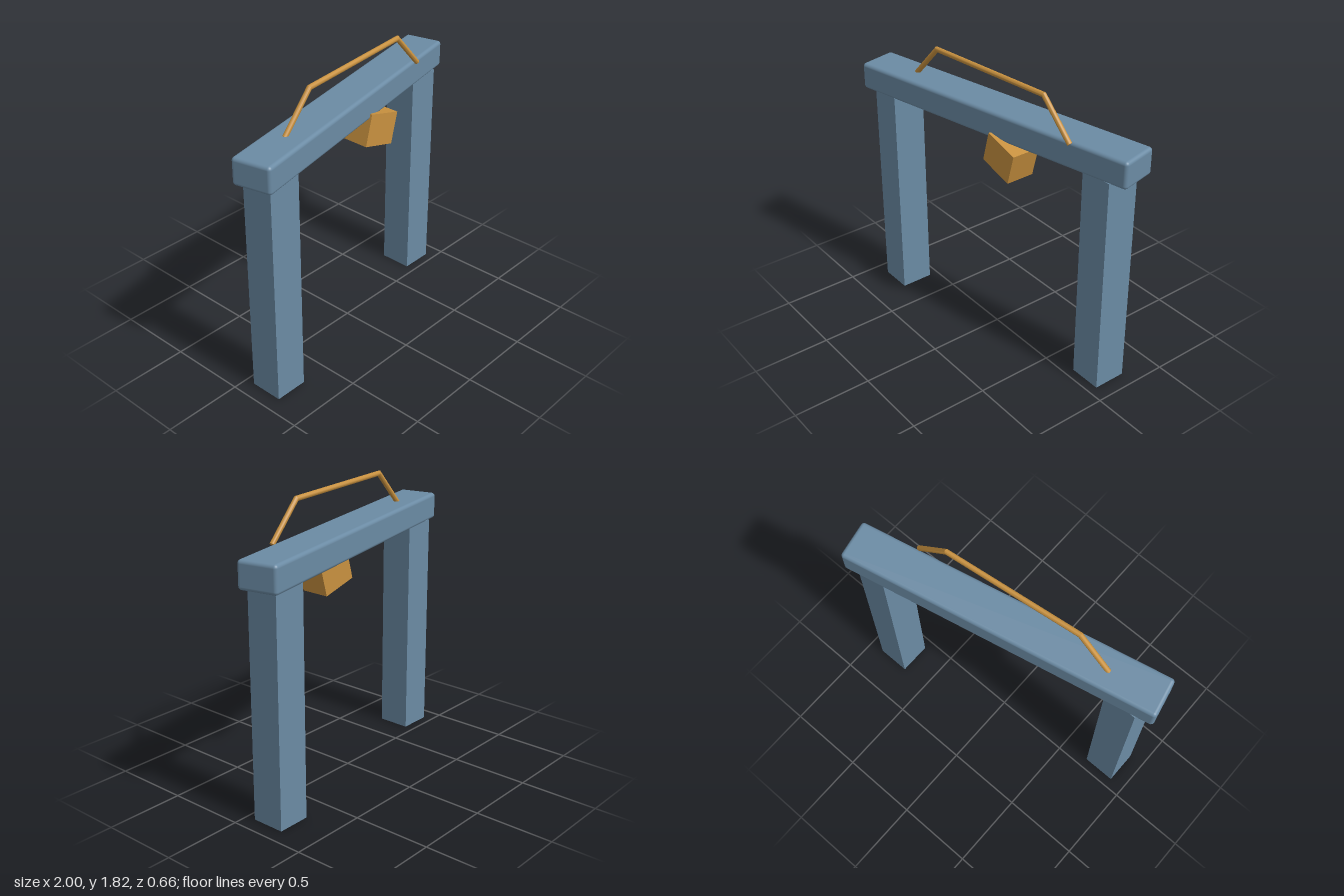
import * as THREE from 'three';
import { RoundedBoxGeometry } from 'three/addons/geometries/RoundedBoxGeometry.js';
import { toCreasedNormals } from 'three/addons/utils/BufferGeometryUtils.js';

// Round rod along a polyline, with mitred corners and closed ends
function rodGeometry(points, radius, sides) {
  const last = points.length - 1;
  const across = points[last].clone().sub(points[0]).setY(0).normalize()
    .cross(new THREE.Vector3(0, 1, 0));
  const positions = [], index = [];
  points.forEach((p, i) => {
    const before = p.clone().sub(points[Math.max(i - 1, 0)]).normalize();
    const after = points[Math.min(i + 1, last)].clone().sub(p).normalize();
    const tangent = before.clone().add(after).normalize();
    const stretch = 1 / tangent.dot(i < last ? after : before);
    const up = across.clone().cross(tangent).normalize();
    for (let k = 0; k < sides; k++) {
      const a = (k / sides) * Math.PI * 2;
      const v = p.clone().addScaledVector(across, radius * Math.cos(a))
        .addScaledVector(up, radius * stretch * Math.sin(a));
      positions.push(v.x, v.y, v.z);
    }
  });
  for (let i = 0; i < last; i++) {
    for (let k = 0; k < sides; k++) {
      const a = i * sides + k, b = i * sides + (k + 1) % sides;
      index.push(a, b, a + sides, b, b + sides, a + sides);
    }
  }
  for (let k = 1; k < sides - 1; k++) {
    const e = last * sides;
    index.push(0, k + 1, k, e, e + k, e + k + 1);
  }
  const g = new THREE.BufferGeometry();
  g.setAttribute('position', new THREE.Float32BufferAttribute(positions, 3));
  g.setIndex(index);
  return toCreasedNormals(g, 0.6);
}

export function createModel() {
  const group = new THREE.Group();
  const blue = new THREE.MeshStandardMaterial({ name: 'slate blue', color: 0x6b8ba4 });
  const ochre = new THREE.MeshStandardMaterial({ name: 'ochre', color: 0xc8913f });
  blue.side = ochre.side = THREE.DoubleSide;

  const add = (name, geometry, material, x, y, z) => {
    const mesh = new THREE.Mesh(geometry, material);
    mesh.name = name;
    mesh.position.set(x, y, z);
    group.add(mesh);
    return mesh;
  };

  // Beam turned across the two square legs
  const beam = add('beam', new RoundedBoxGeometry(2, 0.17, 0.25, 4, 0.022), blue, 0, 1.507, 0);
  beam.rotation.y = 0.211;

  for (const s of [-1, 1]) {
    add(s < 0 ? 'rightLeg' : 'leftLeg', new THREE.BoxGeometry(0.212, 1.43, 0.212), blue,
      s * 0.795, 0.715, -s * 0.167);
  }

  // Tilted block under the beam
  const block = add('hangingBlock', new THREE.BoxGeometry(0.24, 0.203, 0.185), ochre, 0.169, 1.331, 0.033);
  block.rotation.z = -0.262;

  // Bent handle on top
  const path = [[-0.642, 1.583, 0.128], [-0.434, 1.804, 0.116], [0.43, 1.804, 0.012], [0.642, 1.583, 0]]
    .map((p) => new THREE.Vector3(...p));
  add('handle', rodGeometry(path, 0.016, 16), ochre, 0, 0, 0);

  return group;
}
